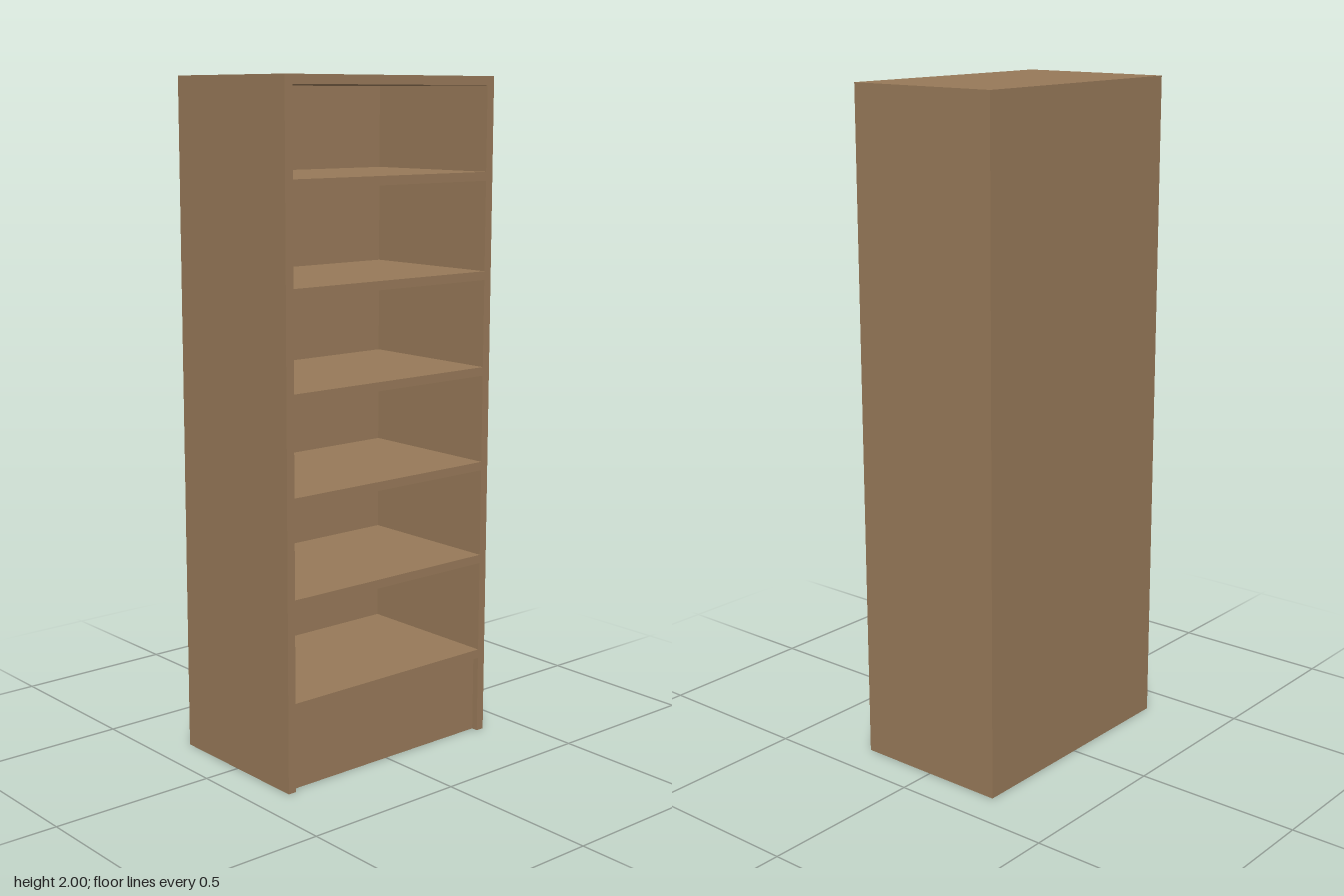
import * as THREE from 'three';

export function createModel() {
  const wood = new THREE.MeshStandardMaterial({ color: 0x967858 });
  wood.name = 'brown wood';
  const model = new THREE.Group();
  model.name = 'bookcase';

  const W = 0.776, H = 2, D = 0.484; // outer size
  const T = 0.026;                   // board thickness
  const BACK = 0.015;                // back panel thickness
  const RECESS = 0.02;               // setback of the plinth
  const innerW = W - 2 * T;

  // Box given by its size, bottom height and z range
  function board(name, w, x, y0, y1, z0, z1) {
    const mesh = new THREE.Mesh(new THREE.BoxGeometry(w, y1 - y0, z1 - z0), wood);
    mesh.position.set(x, (y0 + y1) / 2, (z0 + z1) / 2);
    mesh.name = name;
    model.add(mesh);
  }

  // Side panels
  for (const s of [1, -1]) {
    board(s > 0 ? 'leftSide' : 'rightSide', T, s * (W - T) / 2, 0, H, -D / 2, D / 2);
  }

  // Top, back and closed plinth
  board('top', innerW, 0, H - T, H, -D / 2, D / 2);
  board('back', innerW, 0, 0, H - T, -D / 2, -D / 2 + BACK);
  board('plinth', innerW, 0, 0, 0.237, -D / 2 + BACK, D / 2 - RECESS);

  // Shelves, from the bottom one up
  [0.264, 0.567, 0.858, 1.148, 1.435, 1.726].forEach((y, i) => {
    const bottom = i === 0 ? 0.237 : y - T;
    const name = i === 0 ? 'bottomShelf' : 'shelf' + i;
    // shelf tops sit at the lower edge of each opening
    board(name, innerW, 0, bottom, y, -D / 2 + BACK, D / 2);
  });

  return model;
}
